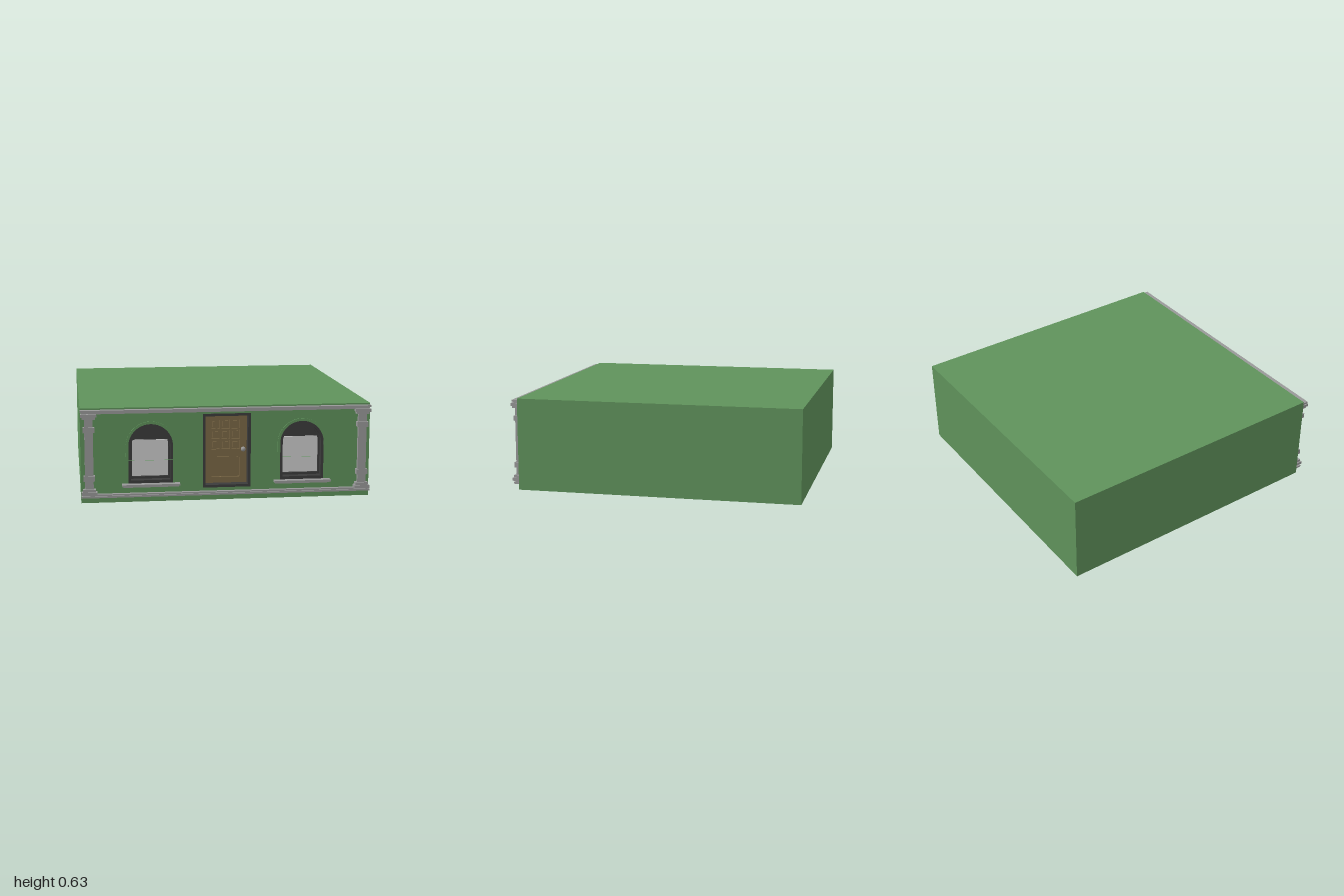
import * as THREE from 'three';

const mat = (color) => new THREE.MeshStandardMaterial({ color });
const WALL = 0.95, BACK = 0.87; // wall face and bottom of the recesses

// Rectangle outline, usable as a shape or a hole
function rect(x0, x1, y0, y1, T = THREE.Shape) {
  const s = new T();
  s.moveTo(x0, y0);
  s.lineTo(x1, y0);
  s.lineTo(x1, y1);
  s.lineTo(x0, y1);
  s.closePath();
  return s;
}

// Round-headed outline: straight sides up to the spring line, then a half circle
function arch(cx, r, y0, spring, T = THREE.Shape) {
  const s = new T();
  s.moveTo(cx - r, y0);
  s.lineTo(cx + r, y0);
  s.lineTo(cx + r, spring);
  s.absarc(cx, spring, r, 0, Math.PI, false);
  s.closePath();
  return s;
}

export function createModel() {
  const model = new THREE.Group();
  model.name = 'building';
  const green = mat(0x5f925b), stone = mat(0x999999), dark = mat(0x3b3b3b);
  const brown = mat(0x7a6745), pane = mat(0xcccccc);

  const add = (parent, name, geometry, material) => {
    const m = new THREE.Mesh(geometry, material);
    m.name = name;
    parent.add(m);
    return m;
  };
  const box = (parent, name, material, x0, x1, y0, y1, z0, z1) => {
    const m = add(parent, name, new THREE.BoxGeometry(x1 - x0, y1 - y0, z1 - z0), material);
    m.position.set((x0 + x1) / 2, (y0 + y1) / 2, (z0 + z1) / 2);
    return m;
  };
  const slab = (parent, name, material, shape, holes, z0, z1) => {
    shape.holes.push(...holes);
    const g = new THREE.ExtrudeGeometry(shape, { depth: z1 - z0, bevelEnabled: false, curveSegments: 16 });
    add(parent, name, g, material).position.z = z0;
  };
  const group = (name) => {
    const g = new THREE.Group();
    g.name = name;
    model.add(g);
    return g;
  };

  // Body and the front wall with its openings
  const W = 0.97, H = 0.635, SPRING = 0.375, WX = 0.508;
  box(model, 'body', green, -W, W, 0, H, -1, BACK);
  slab(model, 'frontWall', green, rect(-W, W, 0, H), [
    rect(-0.161, 0.161, 0.083, 0.583, THREE.Path),
    arch(-WX, 0.148, 0.125, SPRING, THREE.Path),
    arch(WX, 0.148, 0.125, SPRING, THREE.Path),
  ], BACK, WALL);

  // Stepped bands along the top and bottom of the facade
  box(model, 'corniceUpper', stone, -W, W, 0.612, 0.625, WALL, 0.988);
  box(model, 'corniceLower', stone, -0.96, 0.96, 0.6, 0.612, WALL, 0.978);
  box(model, 'plinthUpper', stone, -0.96, 0.96, 0.052, 0.062, WALL, 0.978);
  box(model, 'plinthLower', stone, -W, W, 0.04, 0.052, WALL, 0.988);

  // Corner pilasters: [half width, bottom, top]
  const tiers = [
    [0.052, 0.06, 0.08], [0.043, 0.08, 0.098], [0.028, 0.098, 0.585],
    [0.038, 0.152, 0.188], [0.038, 0.478, 0.512],
    [0.043, 0.566, 0.582], [0.052, 0.582, 0.602],
  ];
  for (const side of [-1, 1]) {
    const p = group('pilaster');
    const cx = side * 0.915;
    for (const [h, y0, y1] of tiers)
      box(p, 'pilasterTier', stone, cx - h, cx + h, y0, y1, WALL, WALL + h * 0.93);
  }

  // Arched windows
  for (const side of [-1, 1]) {
    const w = group('window');
    const cx = side * WX;
    slab(w, 'hoodMoulding', green, arch(cx, 0.165, 0.28, SPRING),
      [arch(cx, 0.148, 0.28, SPRING, THREE.Path)], WALL, 0.957);
    slab(w, 'outerFrame', dark, arch(cx, 0.148, 0.125, SPRING),
      [arch(cx, 0.131, 0.145, SPRING, THREE.Path)], BACK, 0.952);
    slab(w, 'innerFrame', dark, arch(cx, 0.131, 0.145, SPRING),
      [arch(cx, 0.121, 0.16, SPRING, THREE.Path)], BACK, 0.9);
    slab(w, 'archPanel', dark, arch(cx, 0.125, 0.15, SPRING), [], BACK, 0.875);
    box(w, 'blind', pane, cx - 0.121, cx + 0.121, 0.16, 0.405, BACK, 0.882);
    box(w, 'sill', stone, cx - 0.192, cx + 0.192, 0.112, 0.125, WALL, 0.997);
    box(w, 'sillUnderside', stone, cx - 0.185, cx + 0.185, 0.104, 0.112, WALL, 0.985);
  }

  // Panelled door
  const door = group('door');
  slab(door, 'doorFrame', dark, rect(-0.161, 0.161, 0.083, 0.583),
    [rect(-0.143, 0.143, 0.1, 0.566, THREE.Path)], BACK, 0.952);
  const panels = [[-0.095, 0.095, 0.14, 0.285]];
  for (let i = 0; i < 3; i++)
    for (let j = 0; j < 3; j++) {
      const x = -0.096 + i * 0.068, y = 0.33 + j * 0.07;
      panels.push([x, x + 0.056, y, y + 0.06]);
    }
  slab(door, 'doorLeaf', brown, rect(-0.143, 0.143, 0.1, 0.566),
    panels.map((p) => rect(...p, THREE.Path)), 0.872, 0.89);
  box(door, 'doorBacking', brown, -0.143, 0.143, 0.1, 0.566, BACK, 0.874);
  for (const [x0, x1, y0, y1] of panels)
    box(door, 'raisedPanel', brown, x0 + 0.01, x1 - 0.01, y0 + 0.01, y1 - 0.01, 0.873, 0.884);

  // Door knob on a short stem
  const stem = add(door, 'knobStem', new THREE.CylinderGeometry(0.008, 0.008, 0.02, 16), stone);
  stem.rotation.x = Math.PI / 2;
  stem.position.set(0.115, 0.333, 0.9);
  add(door, 'knob', new THREE.SphereGeometry(0.016, 16, 12), stone).position.set(0.115, 0.333, 0.918);

  return model;
}
